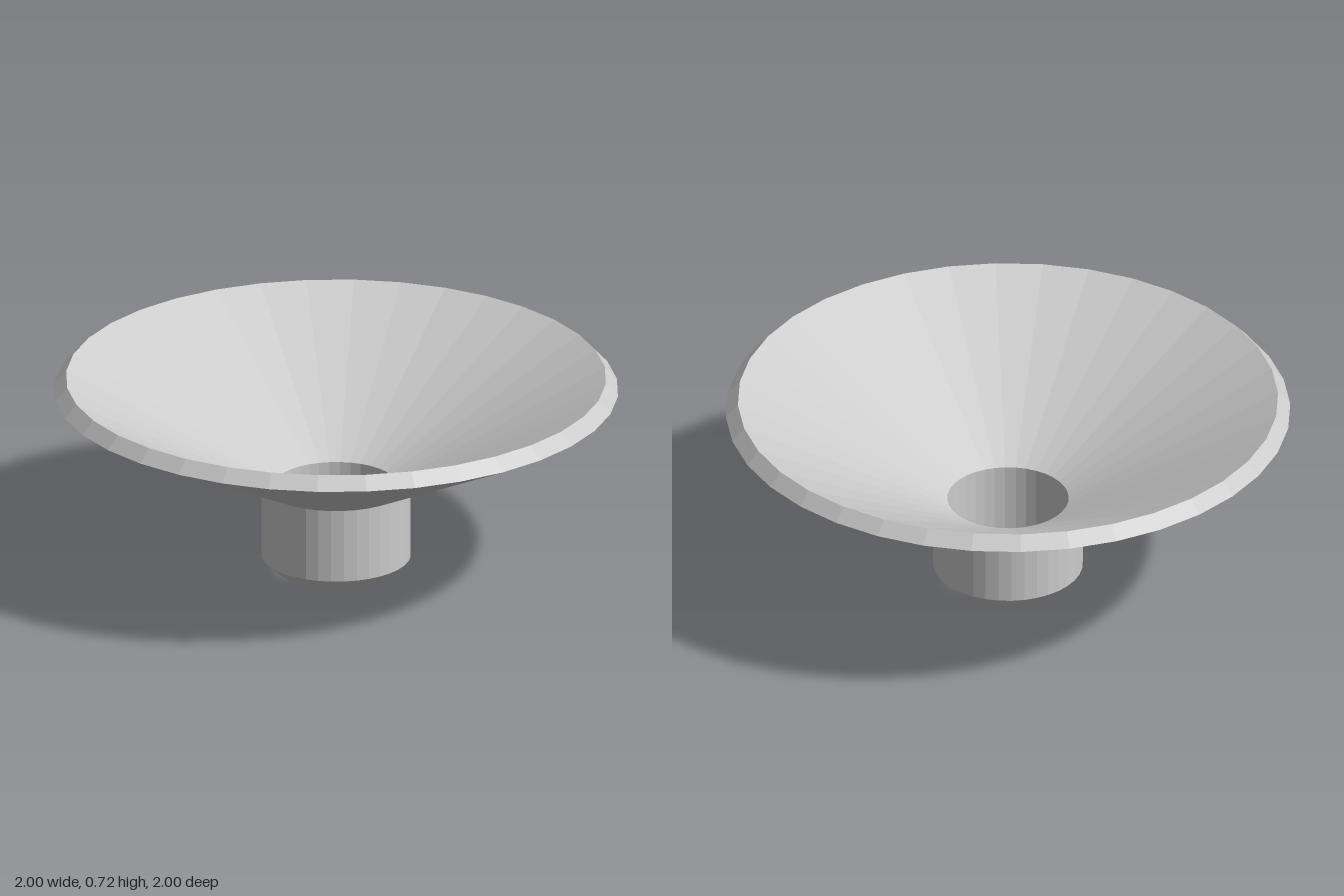
import * as THREE from 'three';

const SEGMENTS = 36;
const HOLE = 0.215; // radius of the bore
const NECK = 0.265; // outer radius of the neck
const JOIN = 0.313; // height where the neck meets the cone

// Revolve a profile that runs up the outside and down the inside
function revolve(name, profile, material) {
  const points = profile.map(([r, y]) => new THREE.Vector2(r, y));
  const mesh = new THREE.Mesh(new THREE.LatheGeometry(points, SEGMENTS), material);
  mesh.name = name;
  return mesh;
}

export function createModel() {
  const model = new THREE.Group();
  model.name = 'funnel';
  const material = new THREE.MeshStandardMaterial({ color: 0xcccccc, flatShading: true });

  // Tubular neck with a chamfered foot
  model.add(revolve('neck', [[HOLE, JOIN], [HOLE, 0], [NECK, 0.045], [NECK, JOIN]], material));

  // Flared cone with a bevelled rim, open through the middle
  model.add(revolve('flaredCone', [[NECK, JOIN], [1, 0.671], [0.957, 0.718], [HOLE, JOIN]], material));

  return model;
}
